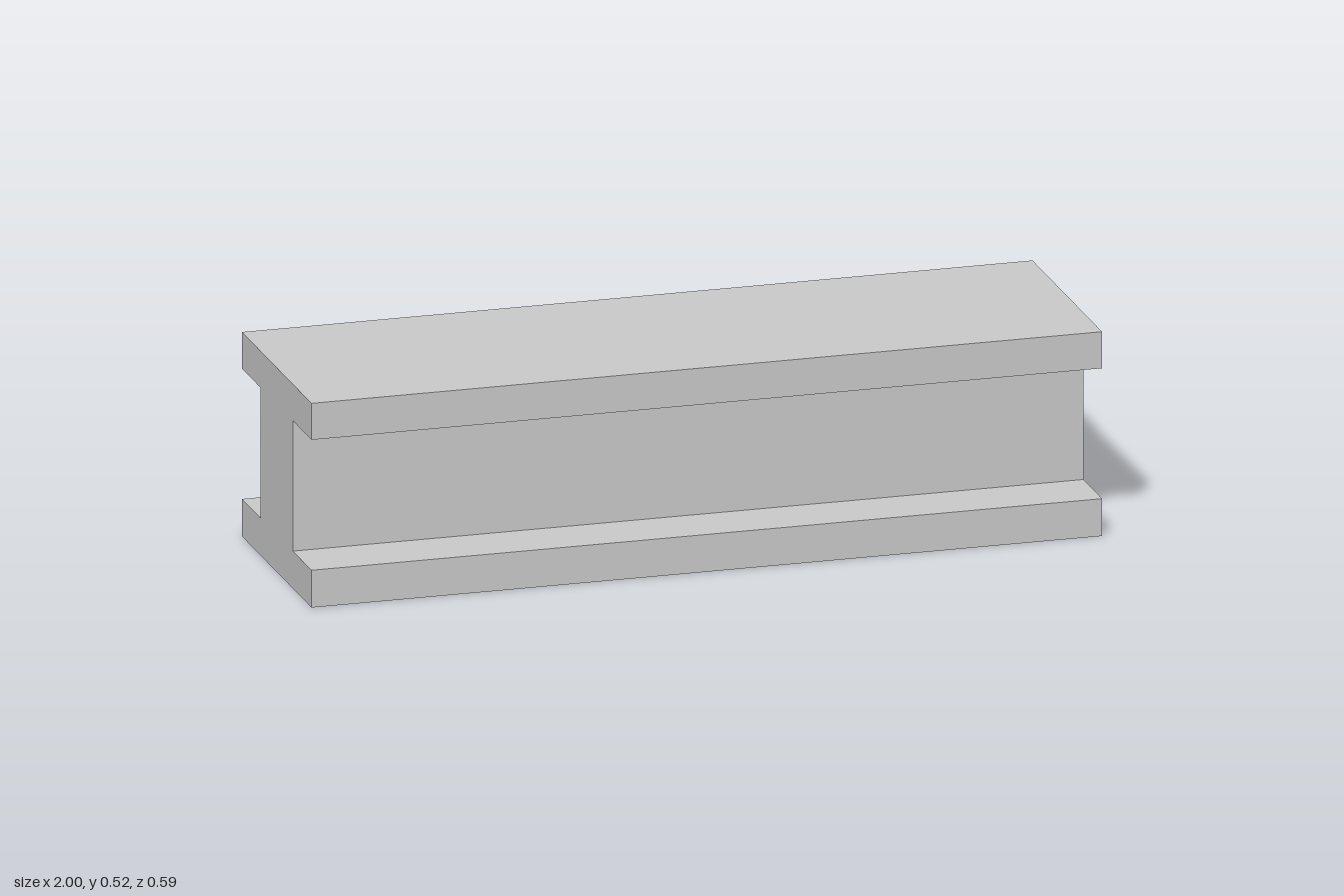
import * as THREE from 'three';

const LENGTH = 2;
const HEIGHT = 0.52;
const FLANGE = 0.296; // half width of the flanges
const WEB = 0.137; // half width of the web
const LOWER_TOP = 0.095; // top of the lower flange
const UPPER_BOTTOM = 0.427; // underside of the upper flange

export function createModel() {
  const group = new THREE.Group();
  group.name = 'iBeam';

  // Right half of the I section, bottom to top, then mirrored for the left half
  const half = [
    [FLANGE, 0], [FLANGE, LOWER_TOP], [WEB, LOWER_TOP],
    [WEB, UPPER_BOTTOM], [FLANGE, UPPER_BOTTOM], [FLANGE, HEIGHT],
  ];
  const mirrored = half.map(([x, y]) => [-x, y]).reverse();
  const section = new THREE.Shape(
    [...half, ...mirrored].map(([x, y]) => new THREE.Vector2(x, y))
  );

  // Extrude the section and lay it along x
  const geometry = new THREE.ExtrudeGeometry(section, { depth: LENGTH, bevelEnabled: false });
  geometry.translate(0, 0, -LENGTH / 2);
  geometry.rotateY(Math.PI / 2);

  const beam = new THREE.Mesh(
    geometry,
    new THREE.MeshStandardMaterial({ color: 0xcccccc, flatShading: true })
  );
  beam.name = 'beam';
  group.add(beam);
  return group;
}
